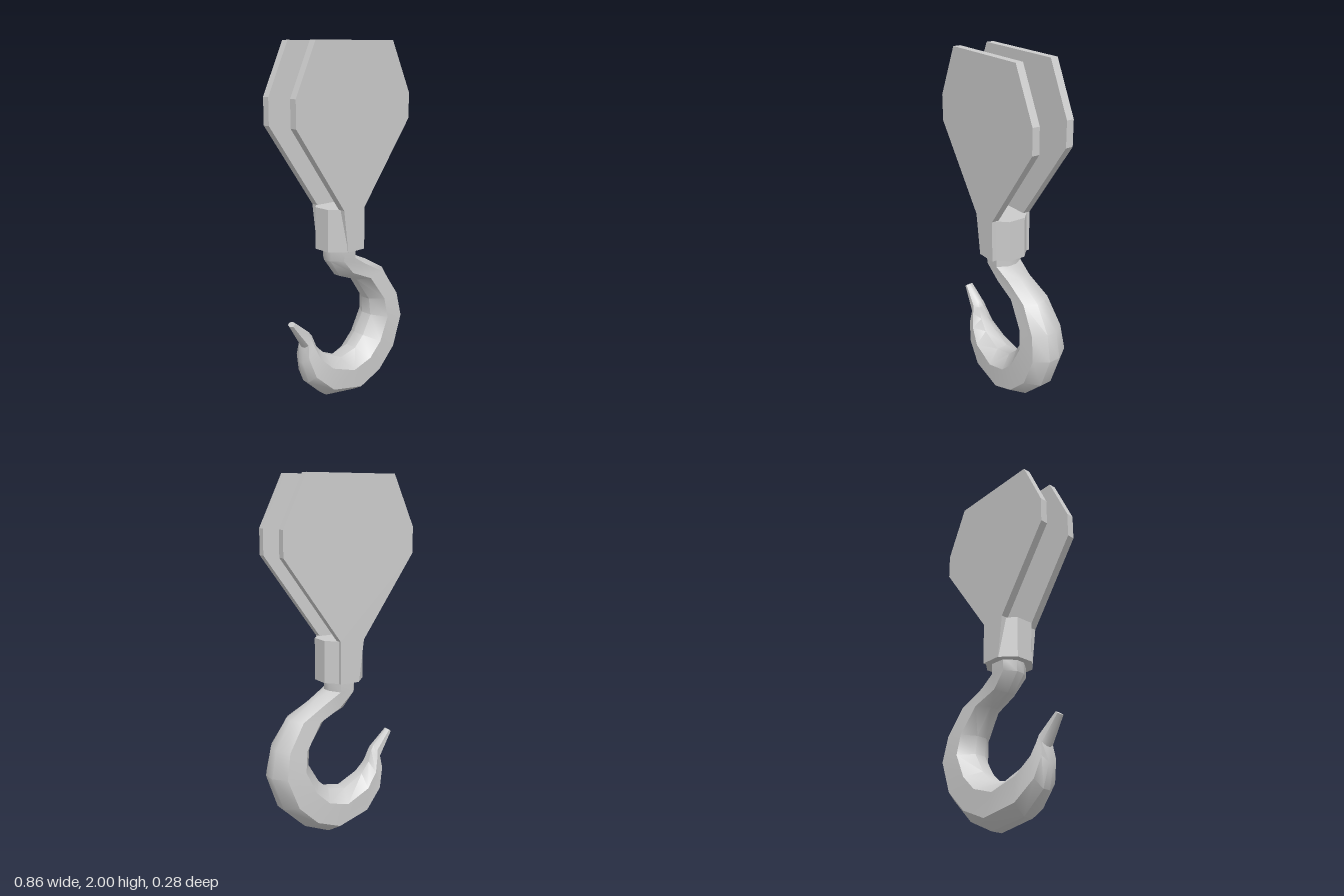
import * as THREE from 'three';
import { toCreasedNormals } from 'three/addons/utils/BufferGeometryUtils.js';

const material = new THREE.MeshStandardMaterial({ color: 0xcccccc });

function addMesh(parent, name, geometry) {
  const mesh = new THREE.Mesh(geometry, material);
  mesh.name = name;
  parent.add(mesh);
  return mesh;
}

// Hook sections: inner x, inner y, outer x, outer y, half depth in z
const SECTIONS = [
  [-0.115, 0.90, 0.055, 0.90, 0.087],
  [-0.115, 0.82, 0.055, 0.83, 0.085],
  [-0.04, 0.72, 0.155, 0.785, 0.075],
  [0.09, 0.67, 0.305, 0.70, 0.085],
  [0.19, 0.53, 0.40, 0.55, 0.102],
  [0.20, 0.43, 0.43, 0.395, 0.115],
  [0.135, 0.32, 0.36, 0.20, 0.12],
  [0.07, 0.26, 0.225, 0.07, 0.12],
  [-0.045, 0.235, 0.065, 0.0, 0.115],
  [-0.17, 0.295, -0.16, 0.04, 0.10],
  [-0.225, 0.355, -0.285, 0.155, 0.075],
  [-0.25, 0.42, -0.32, 0.28, 0.052],
  [-0.268, 0.445, -0.305, 0.365, 0.04],
  [-0.37, 0.53, -0.395, 0.51, 0.022],
];

// Eight-sided ring: fraction from inner to outer edge, fraction of half depth
const RING = [[1, -0.3], [1, 0.3], [0.78, 1], [0.27, 1], [0, 0.3], [0, -0.3], [0.27, -1], [0.78, -1]];

function hookGeometry() {
  const positions = [], index = [], n = RING.length;
  for (const [ix, iy, ox, oy, depth] of SECTIONS) {
    for (const [u, w] of RING) {
      positions.push(ix + (ox - ix) * u, iy + (oy - iy) * u, w * depth - 0.004);
    }
  }
  for (let i = 0; i < SECTIONS.length - 1; i++) {
    for (let j = 0; j < n; j++) {
      const a = i * n + j, b = i * n + (j + 1) % n;
      index.push(a, b, a + n, b, b + n, a + n);
    }
  }
  // Close the tip
  const last = (SECTIONS.length - 1) * n;
  for (let j = 1; j < n - 1; j++) index.push(last, last + j, last + j + 1);
  const geometry = new THREE.BufferGeometry();
  geometry.setAttribute('position', new THREE.Float32BufferAttribute(positions, 3));
  geometry.setIndex(index);
  return toCreasedNormals(geometry, 0.7);
}

function plateGeometry(thickness) {
  const outline = [
    [-0.295, 2], [-0.425, 1.72], [-0.425, 1.575], [-0.105, 1.12], [-0.075, 0.885],
    [0.045, 0.885], [0.045, 1.12], [0.385, 1.58], [0.385, 1.72], [0.25, 2],
  ].map(([x, y]) => new THREE.Vector2(x, y));
  const geometry = new THREE.ExtrudeGeometry(new THREE.Shape(outline), { depth: thickness, bevelEnabled: false });
  return geometry.translate(0, 0, -thickness / 2);
}

export function createModel() {
  const model = new THREE.Group();
  model.name = 'craneHook';

  // Block and collar are turned slightly about the vertical
  const block = new THREE.Group();
  block.name = 'pulleyBlock';
  block.rotation.y = -0.034;
  model.add(block);

  // Two side plates with straps running down over the collar
  addMesh(block, 'frontPlate', plateGeometry(0.043)).position.z = 0.104;
  addMesh(block, 'backPlate', plateGeometry(0.043)).position.set(-0.004, 0, -0.109);

  // Octagonal collar
  const collarRadius = 0.125 / Math.cos(Math.PI / 8);
  const collar = new THREE.CylinderGeometry(collarRadius, collarRadius, 0.235, 8);
  collar.rotateY(Math.PI / 8);
  addMesh(block, 'collar', toCreasedNormals(collar, 0.5)).position.set(-0.0275, 1.0025, -0.003);

  // Hook with neck and tapered tip
  addMesh(model, 'hook', hookGeometry());

  return model;
}
